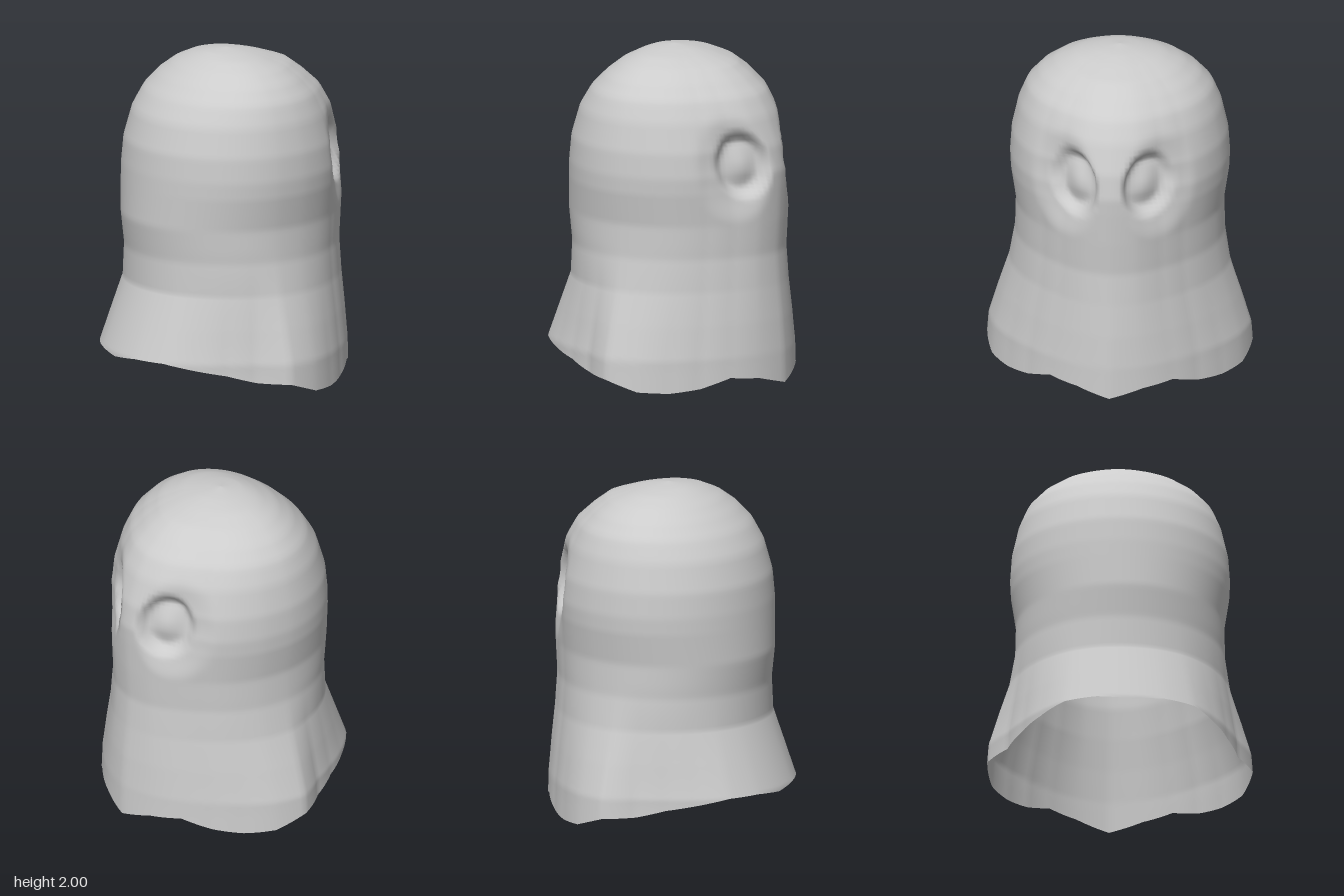
import * as THREE from 'three';

// Body profile from crown to hem: [height, reach to -x, reach to +x, half width in z]
const PROFILE = [
  [2, 0, 0, 0], [1.985, 0.13, 0.13, 0.13], [1.96, 0.2, 0.23, 0.26], [1.91, 0.3, 0.385, 0.38],
  [1.84, 0.39, 0.48, 0.48], [1.75, 0.48, 0.58, 0.56], [1.63, 0.555, 0.65, 0.61],
  [1.45, 0.61, 0.715, 0.65], [1.3, 0.625, 0.74, 0.66], [1.2, 0.63, 0.737, 0.655],
  [1, 0.64, 0.728, 0.625], [0.8, 0.612, 0.715, 0.63], [0.6, 0.615, 0.73, 0.665],
  [0.4, 0.69, 0.75, 0.73], [0.2, 0.765, 0.765, 0.79], [0, 0.78, 0.77, 0.805],
];
// Values every 15 degrees from the face (+x) round to the back (-x)
const HEAD_SHAPE = [1, 0.985, 0.95, 0.945, 0.97, 0.99, 1, 1, 1, 1, 1, 1, 1];
const HEM_SHAPE = [1, 0.965, 0.925, 0.905, 0.925, 0.97, 1, 0.9, 0.895, 0.93, 0.985, 1, 1];
const HEM_HEIGHT = [0.005, 0.06, 0.08, 0.025, 0.005, 0.015, 0.08, 0.09, 0.135, 0.165, 0.2, 0.2, 0.18];

const { lerp, smoothstep, clamp } = THREE.MathUtils;

function sample(table, t) {
  const i = Math.min(Math.floor(t), table.length - 2);
  return lerp(table[i], table[i + 1], t - i);
}

function profileAt(y) {
  let i = 0;
  while (i < PROFILE.length - 2 && PROFILE[i + 1][0] > y) i++;
  const a = PROFILE[i], b = PROFILE[i + 1];
  const t = clamp((a[0] - y) / (a[0] - b[0]), 0, 1);
  return [1, 2, 3].map((k) => lerp(a[k], b[k], t));
}

// Depth of the eye hollows: a crisp oval socket inside a soft dent
function eyeDepth(y, z) {
  const side = Math.abs(z);
  const oval = Math.hypot((side - 0.235) / 0.14, (y - 1.355) / 0.185);
  const dent = Math.hypot((side - 0.28) / 0.22, (y - 1.34) / 0.34);
  const socket = 0.06 * (1 - smoothstep(oval, 0.75, 1.15)) - 0.025 * (1 - smoothstep(oval, 0, 0.8));
  return socket + 0.04 * (1 - smoothstep(dent, 0.4, 1));
}

function surfacePoint(row, angle) {
  const step = Math.acos(clamp(Math.cos(angle), -1, 1)) / (Math.PI / 12);
  // Lower rows are squeezed so that the last one follows the wavy hem
  const hem = sample(HEM_HEIGHT, step);
  const y = row < 0.6 ? lerp(hem, 0.6, row / 0.6) : row;
  const [back, front, half] = profileAt(y);
  const flare = 1 - smoothstep(y, 0.1, 0.9);
  const shape = lerp(sample(HEAD_SHAPE, step), sample(HEM_SHAPE, step), flare);
  const c = Math.cos(angle), s = Math.sin(angle);
  let x = c * (c > 0 ? front : back) * shape;
  let z = s * half * shape;
  if (c > 0 && y > 0.9 && y < 1.75) {
    const depth = eyeDepth(y, z);
    x -= depth * 0.85;
    z -= depth * 0.5 * Math.sign(z);
  }
  return [x, y, z];
}

// Open shell made of rings from the crown down to the hem
function sheetGeometry(columns = 144, rows = 100) {
  const positions = [], index = [];
  for (let i = 0; i <= rows; i++) {
    const t = i / rows;
    // Rings crowd together towards the rounded crown
    const row = t < 0.3 ? 2 - 0.5 * (t / 0.3) ** 2 : lerp(1.5, 0, (t - 0.3) / 0.7);
    for (let j = 0; j < columns; j++) {
      positions.push(...surfacePoint(row, (j / columns) * Math.PI * 2));
    }
  }
  for (let i = 0; i < rows; i++) {
    for (let j = 0; j < columns; j++) {
      const a = i * columns + j, b = i * columns + ((j + 1) % columns);
      const c = a + columns, d = b + columns;
      if (i > 0) index.push(a, b, c);
      index.push(b, d, c);
    }
  }
  const geometry = new THREE.BufferGeometry();
  geometry.setAttribute('position', new THREE.Float32BufferAttribute(positions, 3));
  geometry.setIndex(index);
  geometry.computeVertexNormals();
  // The crown vertices coincide, so they share one upward normal
  for (let j = 0; j < columns; j++) geometry.attributes.normal.setXYZ(j, 0, 1, 0);
  return geometry;
}

export function createModel() {
  const group = new THREE.Group();
  group.name = 'ghost';
  const material = new THREE.MeshStandardMaterial({ color: 0xcccccc, side: THREE.DoubleSide });
  // Draped sheet with two eye hollows
  const sheet = new THREE.Mesh(sheetGeometry(), material);
  sheet.name = 'sheet';
  group.add(sheet);
  return group;
}
